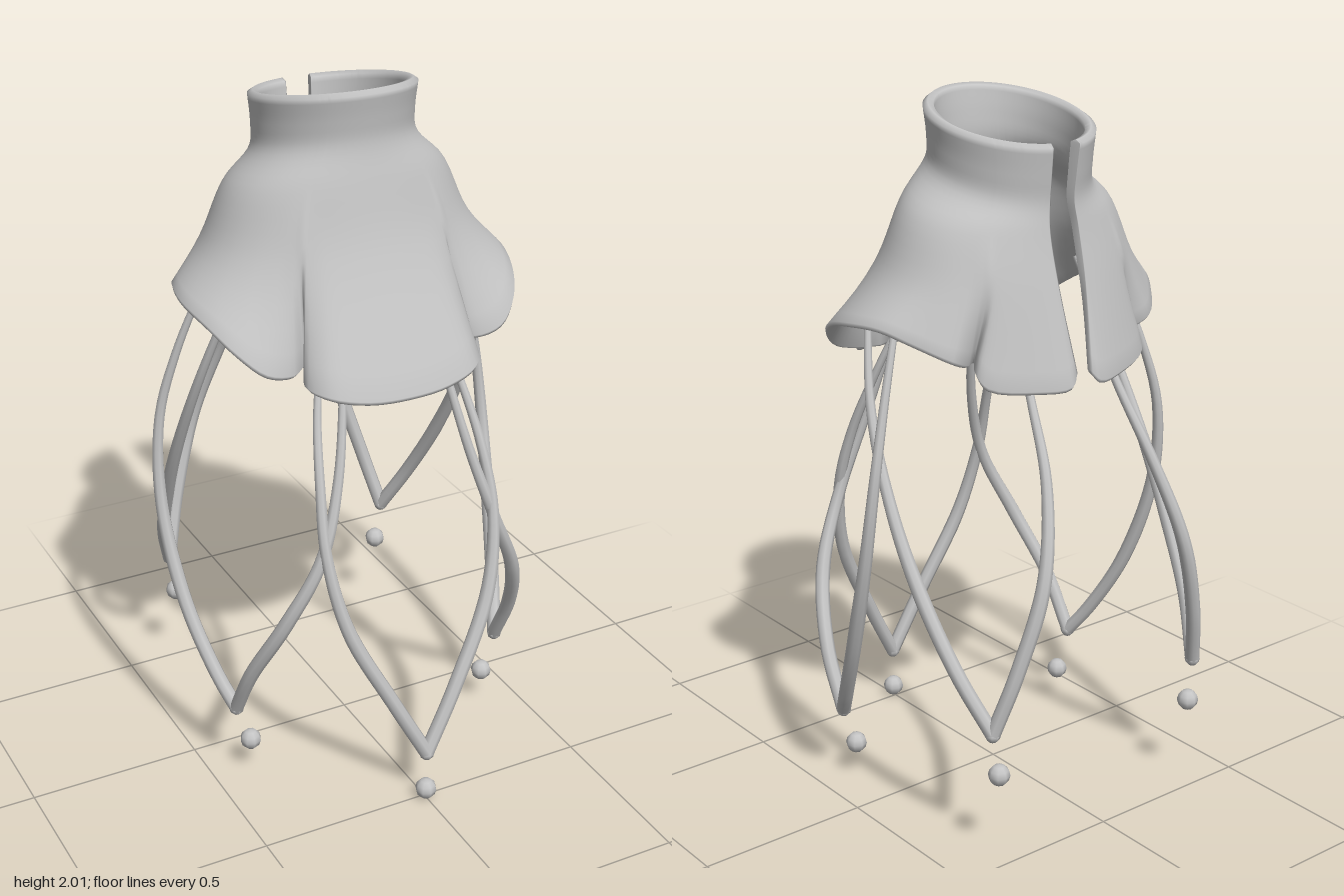
import * as THREE from 'three';

const V = (x, y, z) => new THREE.Vector3(x, y, z);

// Hem of one half from front centre to back opening: x, y, z, angle around the neck
const HEM = [
  [0, 1.235, 0.395, 0], [0.12, 1.24, 0.385, 0.22], [0.22, 1.26, 0.352, 0.42], [0.262, 1.275, 0.28, 0.56],
  [0.225, 1.3, 0.215, 0.6], // front pleat
  [0.275, 1.295, 0.25, 0.66], [0.355, 1.315, 0.255, 0.8], [0.42, 1.37, 0.21, 1.0], [0.465, 1.425, 0.12, 1.25],
  [0.487, 1.455, 0, 1.55], [0.467, 1.46, -0.11, 1.85], [0.42, 1.43, -0.19, 2.1], [0.345, 1.385, -0.265, 2.35],
  [0.285, 1.36, -0.255, 2.45],
  [0.255, 1.36, -0.235, 2.5], // back pleat
  [0.287, 1.345, -0.285, 2.56], [0.27, 1.31, -0.32, 2.65], [0.15, 1.29, -0.375, 2.85], [0.05, 1.29, -0.4, 3.02],
  [0.022, 1.32, -0.385, 3.05],
];

// Rings above the hem: half width, front z, back z, front y, back y, angle scale
const RINGS = [
  [0.225, 0.172, -0.31, 2.0, 1.91, 0.965],
  [0.219, 0.16, -0.3, 1.93, 1.83, 0.967],
  [0.226, 0.155, -0.293, 1.865, 1.76, 0.97],
  [0.312, 0.178, -0.302, 1.765, 1.69, 0.98],
  [0.388, 0.228, -0.335, 1.59, 1.55, 0.992],
];

function ringPoint([rx, zf, zb, yf, yb, s], a) {
  const c = Math.cos(a * s);
  const k = (1 + c) / 2;
  return V(rx * Math.sin(a * s), yb + (yf - yb) * k, zb + (zf - zb) * k);
}

// Open-backed collar: a shell with an outer skin, an inner skin and rounded edges
function collarGeometry() {
  const hem = [...HEM.slice(1).reverse().map(([x, y, z, a]) => [-x, y, z, -a]), ...HEM];
  const hemCurve = new THREE.CatmullRomCurve3(hem.map(([x, y, z]) => V(x, y, z)));
  const cols = (hem.length - 1) * 4, rows = 26;
  const skin = [], index = [];
  for (let i = 0; i <= cols; i++) {
    const s = Math.min(Math.floor(i / 4), hem.length - 2);
    const a = THREE.MathUtils.lerp(hem[s][3], hem[s + 1][3], i / 4 - s);
    const column = new THREE.CatmullRomCurve3([...RINGS.map((r) => ringPoint(r, a)), hemCurve.getPoint(i / cols)]);
    for (let j = 0; j <= rows; j++) skin.push(column.getPoint(j / rows));
  }
  const R = rows + 1;
  for (let i = 0; i < cols; i++) for (let j = 0; j < rows; j++) {
    const p = i * R + j, q = p + R;
    index.push(p, p + 1, q + 1, p, q + 1, q);
  }
  const base = new THREE.BufferGeometry().setFromPoints(skin);
  base.setIndex(index);
  base.computeVertexNormals();
  const normals = base.attributes.normal;

  // Closed loop per column: outer downwards, hem bead, inner upwards, rim bead
  const points = [], faces = [], loop = 2 * R + 2;
  for (let i = 0; i <= cols; i++) {
    const at = (j) => skin[i * R + j];
    const inner = (j) => {
      const n = V().fromBufferAttribute(normals, i * R + j);
      return at(j).clone().addScaledVector(n, -(0.03 - 0.012 * j / rows));
    };
    const bead = (j, next) => at(j).clone().add(inner(j)).multiplyScalar(0.5)
      .addScaledVector(at(j).clone().sub(at(next)).normalize(), 0.008);
    for (let j = 0; j <= rows; j++) points.push(at(j));
    points.push(bead(rows, rows - 1));
    for (let j = rows; j >= 0; j--) points.push(inner(j));
    points.push(bead(0, 1));
  }
  for (let i = 0; i < cols; i++) for (let k = 0; k < loop; k++) {
    const p = i * loop + k, p1 = i * loop + (k + 1) % loop;
    faces.push(p, p1, p1 + loop, p, p1 + loop, p + loop);
  }
  // Caps along the two edges of the back opening
  for (const [o, flip] of [[0, false], [cols * loop, true]]) {
    const cap = (a, b, c) => (flip ? faces.push(o + a, o + b, o + c) : faces.push(o + a, o + c, o + b));
    for (let j = 0; j < rows; j++) {
      const m = 2 * R - j;
      cap(j, j + 1, m - 1);
      cap(j, m - 1, m);
    }
    cap(rows, R, R + 1);
    cap(0, 2 * R, 2 * R + 1);
  }
  const g = new THREE.BufferGeometry().setFromPoints(points);
  g.setIndex(faces);
  g.computeVertexNormals();
  return g;
}

// Strand that is thin under the collar and thick at its tip
function strandGeometry(path) {
  const curve = new THREE.CatmullRomCurve3(path.map((p) => V(...p)));
  const steps = 36, sides = 8;
  const g = new THREE.TubeGeometry(curve, steps, 1, sides);
  const pos = g.attributes.position;
  for (let i = 0; i <= steps; i++) {
    const t = i / steps, c = curve.getPointAt(t), r = 0.009 + 0.012 * Math.min(1, t * 1.5);
    for (let k = 0; k <= sides; k++) {
      const n = i * (sides + 1) + k;
      const p = V().fromBufferAttribute(pos, n).sub(c).multiplyScalar(r).add(c);
      pos.setXYZ(n, p.x, p.y, p.z);
    }
  }
  return g;
}

// Strand paths on the +x side, each ending at a petal tip
const FRONT = [[0.17, 1.36, 0.2], [0.22, 1.18, 0.27], [0.25, 1.0, 0.345], [0.26, 0.82, 0.4], [0.22, 0.6, 0.45],
  [0.1, 0.35, 0.492], [0, 0.16, 0.51]];
const SIDE = [
  [[0.38, 1.48, -0.07], [0.46, 1.25, -0.115], [0.51, 1.05, -0.135], [0.527, 0.8, -0.105], [0.505, 0.52, -0.01],
    [0.46, 0.32, 0.1], [0.43, 0.235, 0.16]],
  [[0.13, 1.38, 0.25], [0.2, 1.02, 0.355], [0.27, 0.8, 0.39], [0.36, 0.6, 0.35], [0.42, 0.4, 0.25],
    [0.43, 0.235, 0.16]],
];
const BACK = [
  [[0.37, 1.48, 0.08], [0.435, 1.2, -0.02], [0.457, 0.95, -0.14], [0.45, 0.75, -0.25], [0.42, 0.55, -0.37],
    [0.37, 0.39, -0.46]],
  [[0.13, 1.42, -0.26], [0.15, 1.25, -0.35], [0.185, 1.06, -0.455], [0.25, 0.82, -0.525], [0.32, 0.58, -0.505],
    [0.37, 0.39, -0.46]],
];

export function createModel() {
  const model = new THREE.Group();
  const grey = new THREE.MeshStandardMaterial({ color: 0xc4c4c4 });
  grey.name = 'light grey';
  const add = (name, geometry, at = [0, 0, 0]) => {
    const mesh = new THREE.Mesh(geometry, grey);
    mesh.name = name;
    mesh.position.set(...at);
    model.add(mesh);
  };

  add('collar', collarGeometry());

  const mirror = (path, s) => path.map(([x, y, z]) => [x * s, y, z]);
  const petal = (name, paths, drop) => {
    paths.forEach((p) => add(name + 'Strand', strandGeometry(p)));
    add(name + 'Tip', new THREE.SphereGeometry(0.022, 8, 6), paths[0].at(-1));
    add(name + 'Bead', new THREE.SphereGeometry(0.031, 8, 6), drop);
  };
  petal('frontPetal', [FRONT, mirror(FRONT, -1)], [0, 0.036, 0.51]);
  for (const [s, side] of [[1, 'left'], [-1, 'right']]) {
    petal(side + 'SidePetal', SIDE.map((p) => mirror(p, s)), [0.388 * s, 0.112, 0.16]);
    petal(side + 'BackPetal', BACK.map((p) => mirror(p, s)), [0.352 * s, 0.265, -0.465]);
  }
  return model;
}
